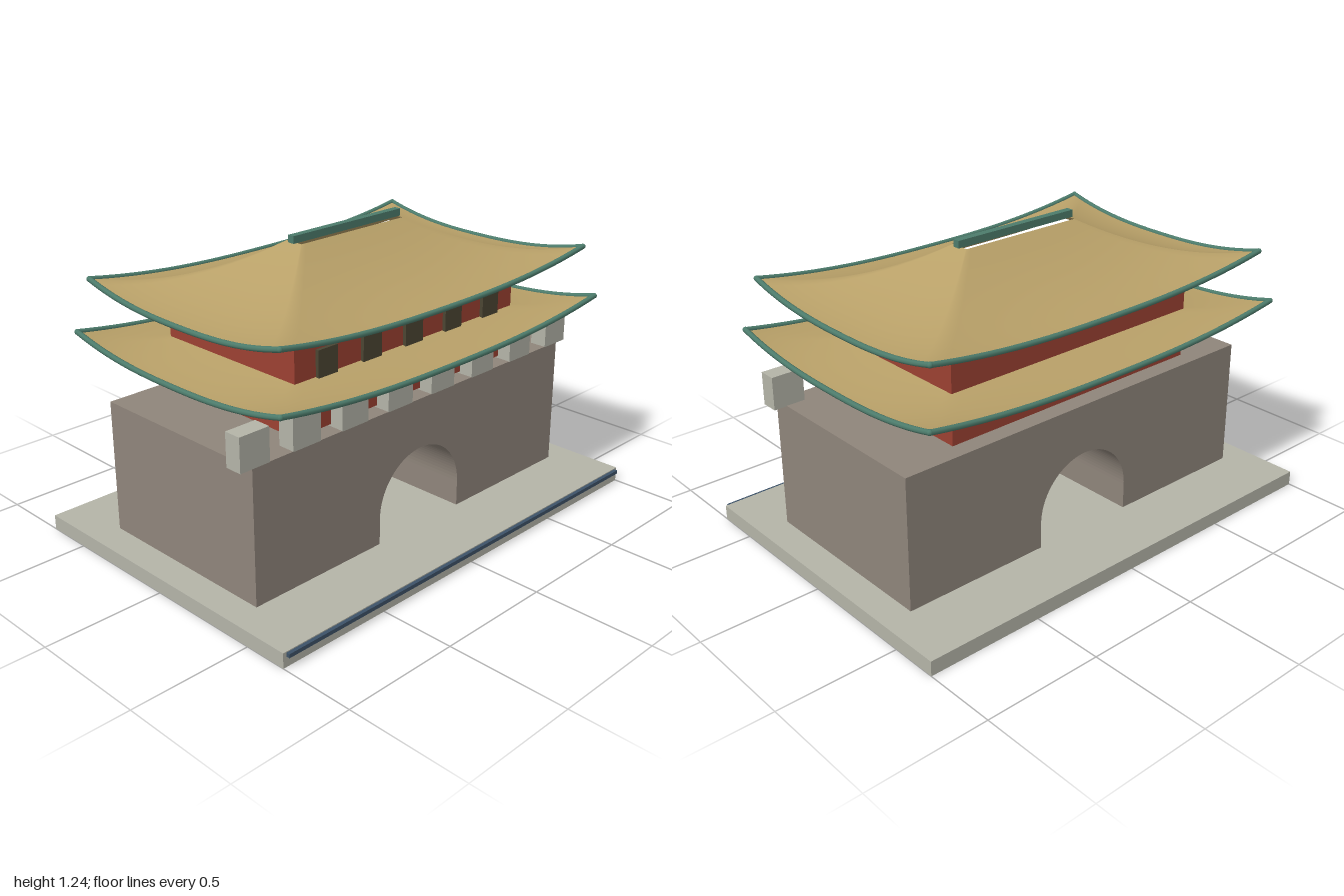
import * as THREE from 'three';

const material = (name, color, side = THREE.FrontSide) => {
  const m = new THREE.MeshStandardMaterial({ color, side });
  m.name = name;
  return m;
};

export function createModel() {
  const paleStone = material('pale stone', 0xb4b4a8);
  const wallStone = material('wall stone', 0x8f857b);
  const redWall = material('red wall', 0x9c4132);
  const roofTile = material('ochre roof tile', 0xb8a068, THREE.DoubleSide);
  const greenTrim = material('green trim', 0x4d7c6c);
  const darkWood = material('dark wood', 0x4b4533);
  const blueStrip = material('blue strip', 0x3d5268);

  const model = new THREE.Group();
  model.name = 'gatehouse';
  const building = new THREE.Group();
  building.name = 'building';
  building.position.z = -0.0075;
  model.add(building);

  const add = (name, geometry, mat) => {
    const mesh = new THREE.Mesh(geometry, mat);
    mesh.name = name;
    building.add(mesh);
    return mesh;
  };
  // Box given by its centre in x and z, and its bottom
  const box = (name, mat, w, h, d, x, y, z) =>
    add(name, new THREE.BoxGeometry(w, h, d), mat).position.set(x, y + h / 2, z);

  // Plinth with a thin strip along its front
  box('plinth', paleStone, 2, 0.062, 1.385, 0, 0, 0);
  box('frontStrip', blueStrip, 1.97, 0.016, 0.015, 0, 0.042, 0.7);

  // Gate wall with an arched passage from front to back
  const R = 0.232, spring = 0.172, bottom = 0.01;
  const outline = new THREE.Shape();
  outline.moveTo(-0.875, bottom);
  outline.lineTo(-R, bottom);
  outline.lineTo(-R, spring);
  outline.absarc(0, spring, R, Math.PI, 0, true);
  outline.lineTo(R, bottom);
  outline.lineTo(0.875, bottom);
  outline.lineTo(0.875, 0.615);
  outline.lineTo(-0.875, 0.615);
  outline.closePath();
  const wall = new THREE.ExtrudeGeometry(outline, { depth: 0.83, bevelEnabled: false, curveSegments: 24 });
  wall.translate(0, 0, -0.415);
  add('gateWall', wall, wallStone);

  // Battlements along the front
  for (let i = 0; i < 8; i++) {
    box('battlement', paleStone, 0.136, 0.137, 0.073, (i - 3.5) * 0.246, 0.613, 0.379);
  }

  // Hall and its front windows
  box('hall', redWall, 1.23, 0.386, 0.708, 0, 0.624, 0);
  for (let i = -2; i <= 2; i++) {
    box('window', darkWood, 0.098, 0.152, 0.018, i * 0.231, 0.786, 0.36);
  }

  // Sweeping roof: rectangular rings from an inner opening to an upturned eave
  function roof(name, inner, outer, midY, rise, power, lift) {
    const rows = 14, perSide = 24, ring = perSide * 4;
    const pointAt = (t, k) => {
      const side = Math.floor(k / perSide) % 4;
      const u = ((k % perSide) / perSide) * 2 - 1;
      const a = THREE.MathUtils.lerp(inner[0], outer[0], t);
      const b = THREE.MathUtils.lerp(inner[1], outer[1], t);
      const y = midY + rise * (1 - t) ** power + lift * Math.abs(u) ** 2.5 * t * t;
      const [x, z] = [[u * a, b], [a, -u * b], [-u * a, -b], [-a, u * b]][side];
      return new THREE.Vector3(x, y, z);
    };
    const positions = [], index = [];
    for (let r = 0; r <= rows; r++) {
      for (let k = 0; k < ring; k++) {
        positions.push(...pointAt(r / rows, k).toArray());
        if (r === rows) continue;
        const n = (k + 1) % ring;
        const i = r * ring + k, iNext = r * ring + n;
        index.push(i + ring, iNext + ring, iNext, i + ring, iNext, i);
      }
    }
    const geometry = new THREE.BufferGeometry();
    geometry.setAttribute('position', new THREE.Float32BufferAttribute(positions, 3));
    geometry.setIndex(index);
    geometry.computeVertexNormals();
    add(name, geometry, roofTile);

    // Rounded trim on each eave, with a knob closing each corner
    for (let s = 0; s < 4; s++) {
      const path = [];
      for (let k = 0; k <= perSide; k++) path.push(pointAt(1, s * perSide + k));
      const curve = new THREE.CatmullRomCurve3(path);
      add(name + 'EaveTrim', new THREE.TubeGeometry(curve, 32, 0.011, 8), greenTrim);
      add(name + 'CornerKnob', new THREE.SphereGeometry(0.0115, 10, 8), greenTrim).position.copy(path[0]);
    }
  }
  roof('lowerRoof', [0.6, 0.34], [0.89, 0.582], 0.803, 0.032, 1.5, 0.06);
  roof('upperRoof', [0.28, 0.042], [0.846, 0.537], 1.017, 0.198, 1.75, 0.06);

  // Ridge beam on top
  box('ridgeBeam', greenTrim, 0.592, 0.03, 0.03, 0, 1.214, 0);

  return model;
}
